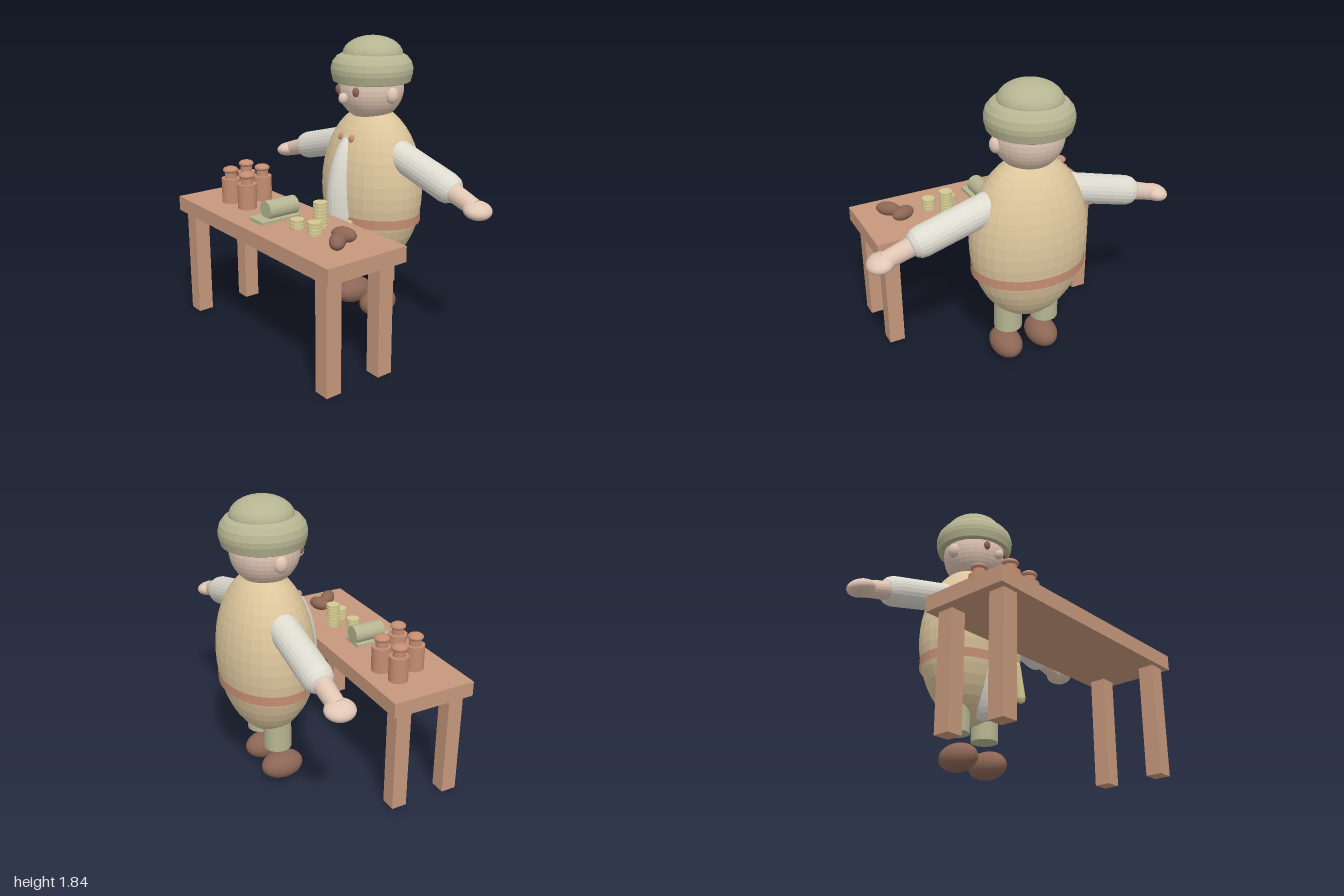
import * as THREE from 'three';

export function createModel() {
  const root = new THREE.Group();
  const mats = {};
  const mat = (color) => (mats[color] ??= new THREE.MeshStandardMaterial({ color, flatShading: true }));

  const SKIN = 0xe0c6b4, TAN = 0xdcc59c, CREAM = 0xdedbd0, WOOD = 0xc6987c, OLIVE = 0xb6b592,
    BROWN = 0x8c6655, COPPER = 0xc48d72, PALE = 0xd2c890;

  const add = (name, geo, color, x = 0, y = 0, z = 0, parent = root) => {
    const m = new THREE.Mesh(geo, mat(color));
    m.name = name;
    m.position.set(x, y, z);
    parent.add(m);
    return m;
  };
  const ball = (name, color, pos, size, parent = root) => {
    const m = add(name, new THREE.SphereGeometry(1, 32, 22), color, ...pos, parent);
    m.scale.set(...size);
    return m;
  };
  const lathe = (pts, sides = 32) => new THREE.LatheGeometry(pts.map((p) => new THREE.Vector2(...p)), sides);
  // Turns a part standing along +y so that it runs from a to b
  const along = (m, a, b) => {
    const dir = new THREE.Vector3(...b).sub(new THREE.Vector3(...a)).normalize();
    m.position.set(...a);
    m.quaternion.setFromUnitVectors(new THREE.Vector3(0, 1, 0), dir);
    return m;
  };

  // Torso, belly front and belt
  ball('body', TAN, [0, 0.868, -0.347], [0.37, 0.534, 0.29]);
  ball('shirtFront', CREAM, [0, 0.79, -0.2], [0.123, 0.46, 0.205]);
  const belt = add('belt', new THREE.CylinderGeometry(1, 1, 0.06, 40, 1, true), COPPER, 0, 0.7, -0.347);
  belt.material = new THREE.MeshStandardMaterial({ color: COPPER, flatShading: true, side: THREE.DoubleSide });
  belt.scale.set(0.36, 1, 0.282);

  // Baton hanging from the belt
  along(add('baton', lathe([[0, -0.025], [0.018, -0.018], [0.026, 0], [0.031, 0.215],
    [0.022, 0.238], [0, 0.248]], 16), PALE), [0.12, 0.695, -0.06], [0.15, 0.485, -0.052]);

  // Head and cap
  ball('head', SKIN, [0, 1.52, -0.33], [0.21, 0.21, 0.21]);
  ball('nose', SKIN, [0, 1.468, -0.107], [0.027, 0.034, 0.031]);
  add('capBand', lathe([[0, 1.555], [0.235, 1.555], [0.245, 1.56], [0.258, 1.61], [0.259, 1.64], [0.248, 1.68],
    [0.222, 1.713], [0.18, 1.735], [0.1, 1.75], [0, 1.755]], 36), OLIVE, 0, 0, -0.337);
  ball('capDome', OLIVE, [0, 1.722, -0.342], [0.19, 0.117, 0.19]);

  // Mirrored parts
  for (const s of [-1, 1]) {
    const side = s > 0 ? 'left' : 'right';
    ball(side + 'Eye', BROWN, [s * 0.083, 1.515, -0.138], [0.022, 0.03, 0.02]);
    ball(side + 'Ear', SKIN, [s * 0.205, 1.49, -0.325], [0.036, 0.05, 0.042]);
    ball(side + 'Button', COPPER, [s * 0.051, 1.216, -0.14], [0.023, 0.026, 0.023]);

    along(add(side + 'Sleeve', lathe([[0, 0], [0.093, 0], [0.093, 0.475], [0.086, 0.51], [0.067, 0.537],
      [0.037, 0.553], [0, 0.558]], 24), CREAM), [s * 0.22, 1.137, -0.347], [s * 0.68, 1.01, -0.347]);
    along(add(side + 'Wrist', lathe([[0, 0], [0.06, 0], [0.052, 0.24], [0, 0.24]], 20), SKIN),
      [s * 0.67, 1.013, -0.343], [s * 0.9, 0.942, -0.343]);
    ball(side + 'Hand', SKIN, [s * 0.922, 0.935, -0.341], [0.08, 0.05, 0.09]).rotation.z = -s * 0.22;

    add(side + 'TrouserLeg', new THREE.CylinderGeometry(0.087, 0.087, 0.3, 24), OLIVE, s * 0.128, 0.4, -0.335);
    ball(side + 'Shoe', BROWN, [s * 0.128, 0.097, -0.307], [0.097, 0.087, 0.137]);
  }

  // Table
  const table = new THREE.Group();
  table.name = 'table';
  root.add(table);
  add('tableTop', new THREE.BoxGeometry(1.6, 0.095, 0.55), WOOD, 0, 0.737, 0.36, table);
  for (const x of [-0.7, 0.7]) for (const z of [0.185, 0.555]) {
    add('tableLeg', new THREE.BoxGeometry(0.1, 0.69, 0.1), WOOD, x, 0.345, z, table);
  }
  const TOP = 0.784;

  // Bottles with round stoppers
  for (const [x, z] of [[-0.567, 0.255], [-0.415, 0.23], [-0.49, 0.42], [-0.315, 0.41]]) {
    const bottle = new THREE.Group();
    bottle.name = 'bottle';
    bottle.position.set(x, TOP, z);
    root.add(bottle);
    add('bottleBody', lathe([[0, 0], [0.06, 0], [0.06, 0.16], [0.038, 0.16], [0.038, 0.21], [0, 0.21]], 24),
      COPPER, 0, 0, 0, bottle);
    ball('stopper', COPPER, [0, 0.212, 0], [0.049, 0.024, 0.049], bottle);
  }

  // Roll lying on a flat plate
  add('plate', new THREE.BoxGeometry(0.145, 0.02, 0.28), OLIVE, -0.035, TOP + 0.01, 0.39);
  add('roll', new THREE.CylinderGeometry(0.058, 0.058, 0.21, 24), OLIVE, -0.035, 0.848, 0.355).rotation.x = Math.PI / 2;

  // Stacks of coins
  for (const [x, z, count] of [[0.262, 0.273, 8], [0.193, 0.39, 3], [0.342, 0.375, 4]]) {
    for (let i = 0; i < count; i++) {
      add('coin', new THREE.CylinderGeometry(0.043, 0.043, 0.016, 10), PALE, x, TOP + 0.01 + i * 0.02, z);
    }
  }

  // Two rolls of bread
  ball('loaf', BROWN, [0.54, 0.83, 0.32], [0.078, 0.044, 0.05]).rotation.y = 0.35;
  ball('loaf', BROWN, [0.604, 0.83, 0.417], [0.083, 0.044, 0.047]).rotation.y = -0.75;

  return root;
}
